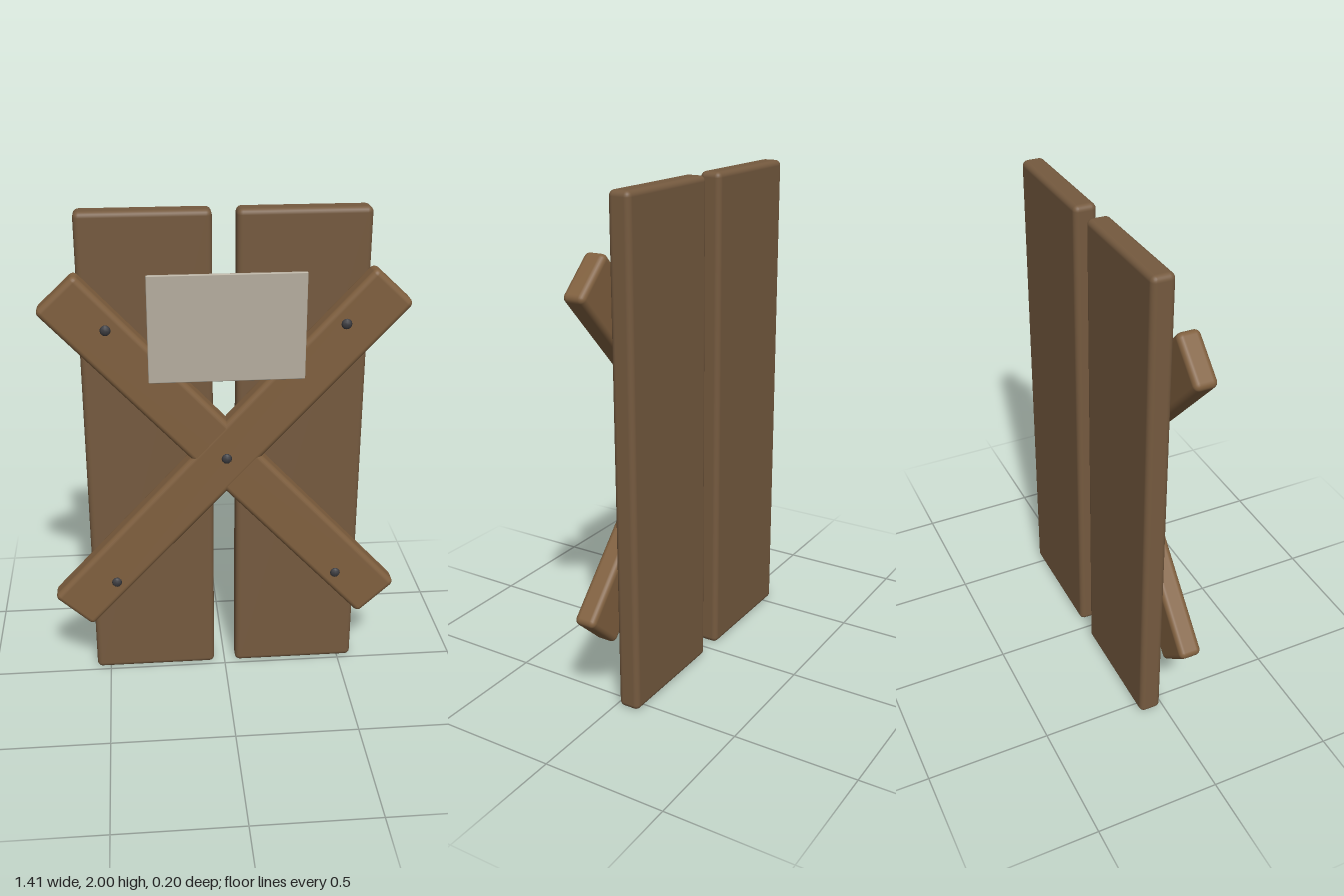
import * as THREE from 'three';
import { RoundedBoxGeometry } from 'three/addons/geometries/RoundedBoxGeometry.js';

const paint = (color) => new THREE.MeshStandardMaterial({ color });

export function createModel() {
  const model = new THREE.Group();
  model.name = 'boardedPlanks';
  const plankWood = paint(0x755a3f);
  const braceWood = paint(0x80603f);
  const iron = paint(0x3c3c40);
  const card = paint(0xb5ad9e);

  const add = (name, geometry, material, x, y, z) => {
    const mesh = new THREE.Mesh(geometry, material);
    mesh.name = name;
    mesh.position.set(x, y, z);
    model.add(mesh);
    return mesh;
  };

  // Upright planks and the two crossed braces
  const plank = new RoundedBoxGeometry(0.512, 2, 0.09, 3, 0.022);
  const brace = new RoundedBoxGeometry(1.875, 0.208, 0.09, 3, 0.022);
  for (const side of [1, -1]) {
    const label = side > 0 ? 'left' : 'right';
    add(label + 'Plank', plank, plankWood, side * 0.302, 1, -0.057);
    // A hair of depth between the braces keeps their faces apart
    const bar = add(label + 'Brace', brace, braceWood, 0, 1.035, 0.033 + side * 0.0005);
    bar.rotation.z = side * THREE.MathUtils.degToRad(47);
  }

  // Nail heads: four near the brace ends, one at the crossing
  const nail = new THREE.SphereGeometry(0.021, 8, 6);
  const spots = [[0, 1.035], [0.455, 1.58], [-0.455, 1.58], [0.455, 0.49], [-0.455, 0.49]];
  for (const [x, y] of spots) {
    add('nail', nail, iron, x, y, 0.083).scale.z = 0.6;
  }

  // Blank notice board in front of the braces
  add('noticeBoard', new RoundedBoxGeometry(0.6, 0.42, 0.014, 2, 0.004), card, 0, 1.58, 0.094);

  return model;
}
